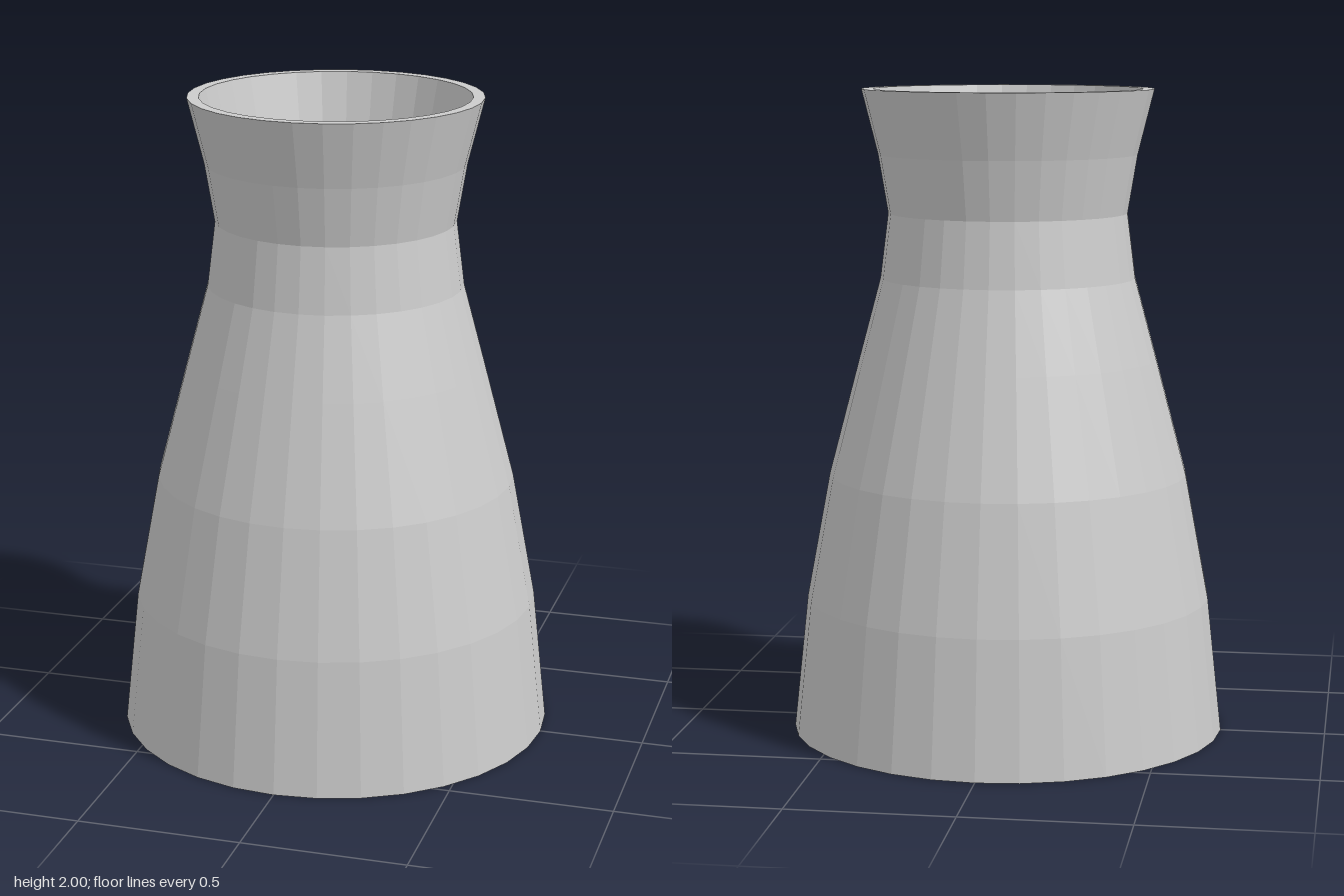
import * as THREE from 'three';

// Outer silhouette as [radius, height], from foot to lip
const OUTER = [
  [0.675, 0], [0.63, 0.42], [0.557, 0.81], [0.462, 1.17],
  [0.395, 1.42], [0.37, 1.62], [0.4, 1.8], [0.45, 2],
];
const WALL = 0.03;
const FLOOR = 0.04;
const SIDES = 32;

export function createModel() {
  const group = new THREE.Group();
  group.name = 'vase';

  // One closed profile: underside, outer wall, flat lip, inner wall, inside floor
  const inner = OUTER.map(([r, y], i) => [
    r - (i === OUTER.length - 1 ? 0.036 : WALL),
    Math.max(y, FLOOR),
  ]).reverse();
  const profile = [[0, 0], ...OUTER, ...inner, [0, FLOOR]]
    .map(([r, y]) => new THREE.Vector2(r, y));

  const body = new THREE.Mesh(
    new THREE.LatheGeometry(profile, SIDES),
    new THREE.MeshStandardMaterial({ color: 0xcccccc, flatShading: true }),
  );
  body.name = 'vaseBody';
  group.add(body);
  return group;
}
